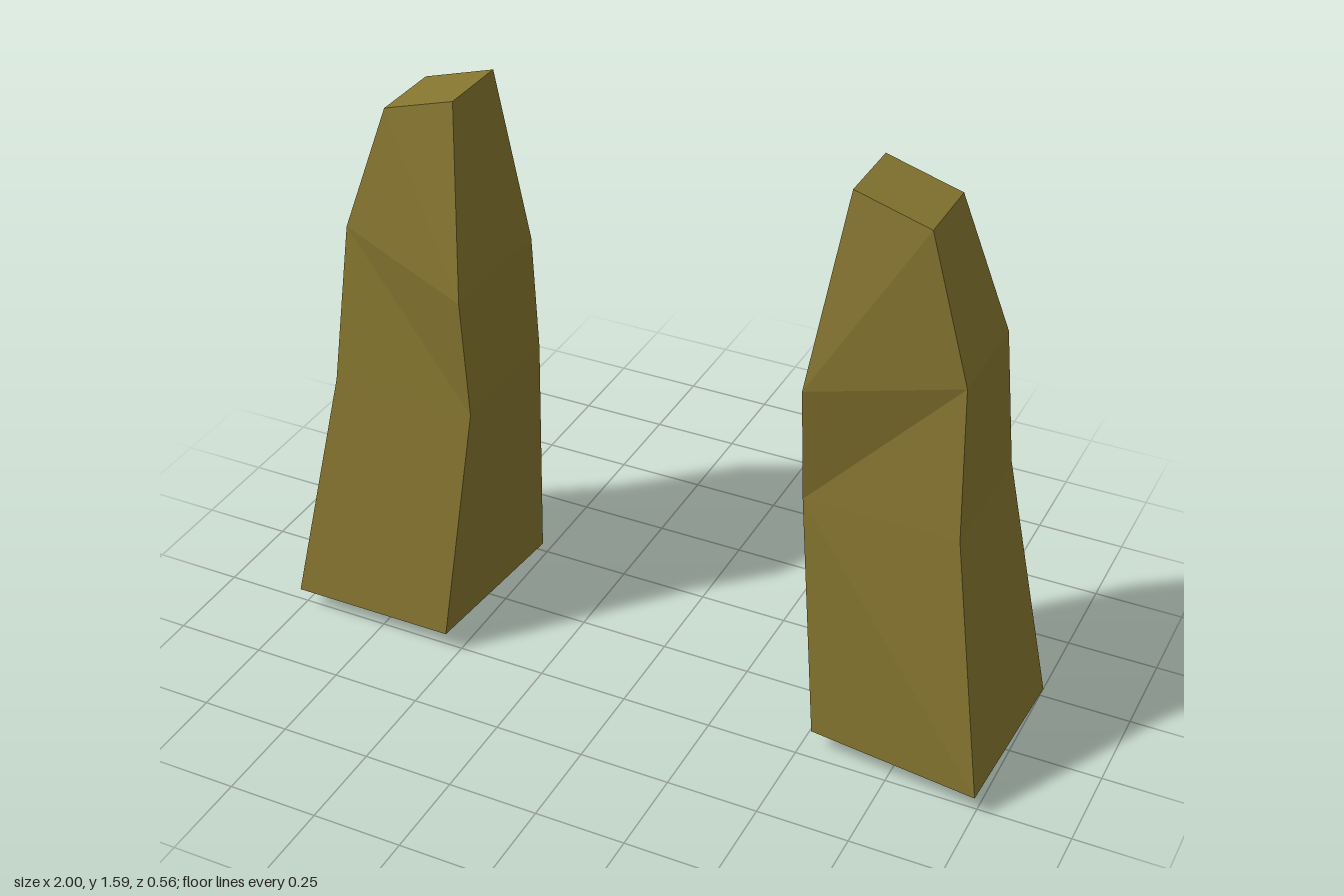
import * as THREE from 'three';

// Builds a faceted four-sided pillar from rings of corners, each ordered
// inner front, outer front, outer back, inner back.
function pillar(name, side, rings, diagonals, material) {
  const pos = [];
  const tri = (a, b, c) => {
    for (const p of side > 0 ? [a, b, c] : [a, c, b]) pos.push(side * p[0], p[1], p[2]);
  };
  const quad = (a, b, c, d, diagonalAC) => {
    if (diagonalAC) { tri(a, b, c); tri(a, c, d); }
    else { tri(a, b, d); tri(b, c, d); }
  };
  for (let i = 0; i < rings.length - 1; i++) {
    const low = rings[i], up = rings[i + 1];
    for (let k = 0; k < 4; k++) {
      const n = (k + 1) % 4;
      quad(low[k], low[n], up[n], up[k], diagonals[i]);
    }
  }
  // top cap and ceiling of the hollow underside
  quad(...rings[rings.length - 1], true);
  quad(...[...rings[0]].reverse(), true);

  const geometry = new THREE.BufferGeometry();
  geometry.setAttribute('position', new THREE.Float32BufferAttribute(pos, 3));
  geometry.computeVertexNormals();
  const mesh = new THREE.Mesh(geometry, material);
  mesh.name = name;
  return mesh;
}

// Rings from the recess in the foot up to the slanted tip
function makeRings({ footZ, midInnerY, midOuterY, shoulderY }) {
  return [
    [[0.68, 0.2, 0.13], [0.85, 0.2, 0.13], [0.85, 0.16, -0.13], [0.68, 0.16, -0.13]],
    [[0.53, 0.06, footZ], [1, 0.06, 0.28], [1, 0, -0.28], [0.53, 0, -0.28]],
    [[0.47, midInnerY, 0.19], [0.88, midOuterY, 0.19], [0.88, midOuterY, -0.19], [0.47, midInnerY, -0.19]],
    [[0.47, 1.09, 0.22], [0.85, shoulderY, 0.13], [0.85, shoulderY, -0.165], [0.47, 1.09, -0.165]],
    [[0.53, 1.59, 0.1], [0.73, 1.53, 0.1], [0.73, 1.53, -0.105], [0.53, 1.59, -0.105]],
  ];
}

export function createModel() {
  const group = new THREE.Group();
  group.name = 'pillarPair';
  const material = new THREE.MeshStandardMaterial({ color: 0x85752f, flatShading: true });
  const diagonals = [true, false, true, true];

  group.add(pillar('leftPillar', 1,
    makeRings({ footZ: 0.22, midInnerY: 0.76, midOuterY: 0.76, shoulderY: 1.15 }), diagonals, material));
  group.add(pillar('rightPillar', -1,
    makeRings({ footZ: 0.28, midInnerY: 0.74, midOuterY: 0.74, shoulderY: 1.18 }), diagonals, material));
  return group;
}
